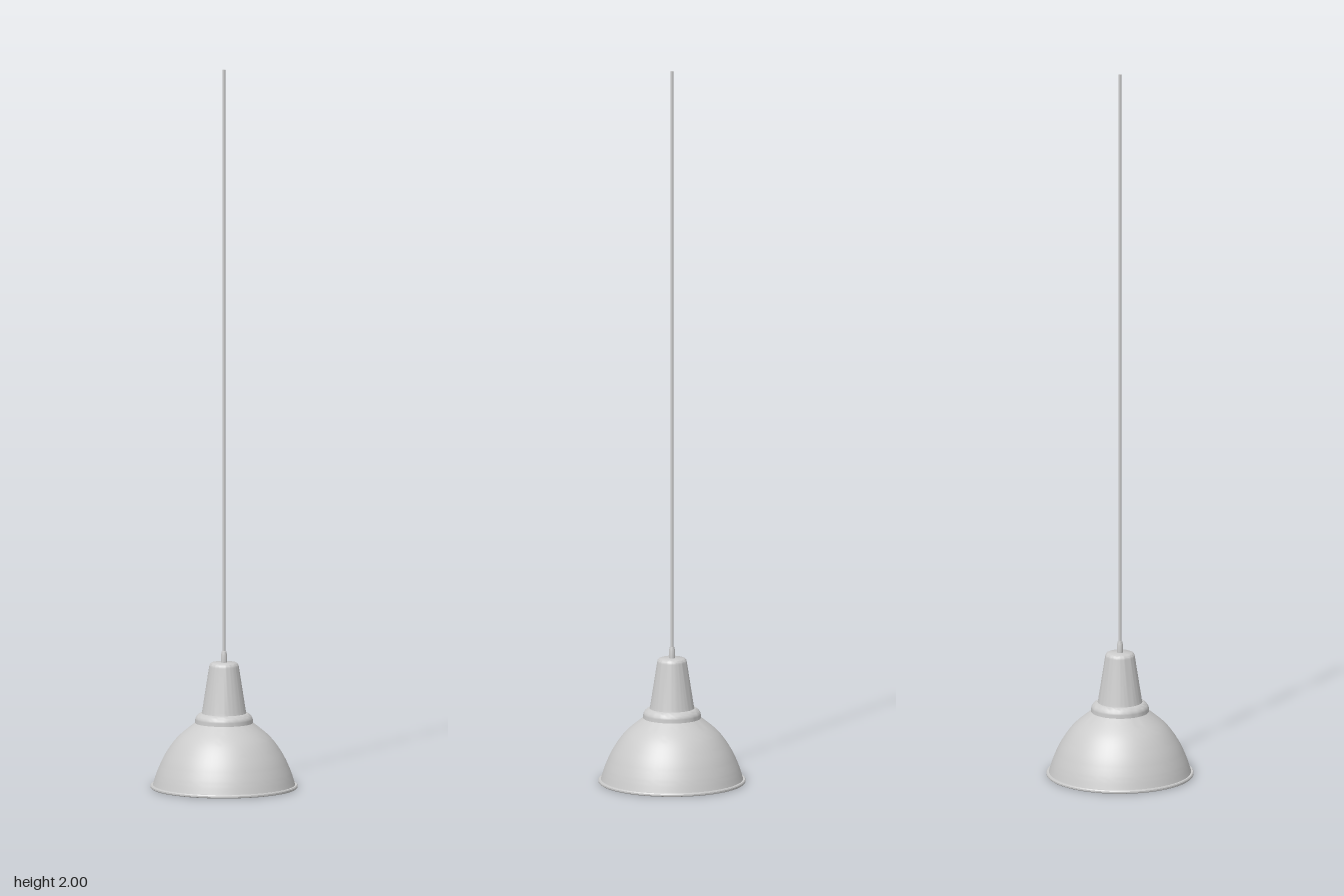
import * as THREE from 'three';
import { toCreasedNormals } from 'three/addons/utils/BufferGeometryUtils.js';

const material = new THREE.MeshStandardMaterial({ color: 0xcccccc });
const SEGMENTS = 64;

const points = (pairs) => pairs.map(([r, y]) => new THREE.Vector2(r, y));
const smooth = (pairs, n) => new THREE.SplineCurve(points(pairs)).getPoints(n);

// Revolves a profile that runs up the outside of a part
function turned(name, profile, segments = SEGMENTS) {
  const geometry = toCreasedNormals(new THREE.LatheGeometry(profile, segments), Math.PI / 6);
  const mesh = new THREE.Mesh(geometry, material);
  mesh.name = name;
  return mesh;
}

export function createModel() {
  const lamp = new THREE.Group();
  lamp.name = 'pendantLamp';

  // Thin-walled dome: up the outside, back down the inside
  const outer = smooth([[0.196, 0.009], [0.184, 0.046], [0.162, 0.093], [0.128, 0.14], [0.078, 0.182]], 24);
  const inner = smooth([[0.076, 0.177], [0.125, 0.136], [0.158, 0.091], [0.18, 0.045], [0.192, 0.005]], 24);
  lamp.add(turned('shade', [...outer, ...inner, outer[0].clone()]));

  // Flat lip around the opening
  lamp.add(turned('rim', points([
    [0.192, 0], [0.201, 0], [0.203, 0.002], [0.203, 0.006], [0.201, 0.009], [0.192, 0.009], [0.192, 0],
  ])));

  // Rounded collar closing the dome
  lamp.add(turned('collar', points([
    [0, 0.177], [0.077, 0.177], [0.0795, 0.18], [0.08, 0.185], [0.0795, 0.19], [0.078, 0.195],
    [0.075, 0.2], [0.071, 0.204], [0.066, 0.207], [0.061, 0.208], [0, 0.208],
  ])));

  // Tapered socket cover with a softened top edge
  lamp.add(turned('socketCover', points([
    [0.062, 0.206], [0.06, 0.215], [0.041, 0.337], [0.04, 0.342], [0.0375, 0.346], [0.034, 0.348], [0, 0.349],
  ])));

  // Cord grip and cord
  lamp.add(turned('cordGrip', points([
    [0.008, 0.347], [0.008, 0.372], [0.006, 0.38], [0, 0.381],
  ]), 24));
  const cord = new THREE.Mesh(new THREE.CylinderGeometry(0.004, 0.004, 1.625, 16), material);
  cord.name = 'cord';
  cord.position.y = 2 - 1.625 / 2;
  lamp.add(cord);

  // Globe bulb with its neck running up into the collar
  const globe = Array.from({ length: 25 }, (_, i) => {
    const a = (i / 24) * Math.PI * 0.82;
    return new THREE.Vector2(0.065 * Math.sin(a), 0.122 - 0.065 * Math.cos(a));
  });
  lamp.add(turned('bulb', [...globe, ...points([[0.03, 0.18]])]));

  return lamp;
}
